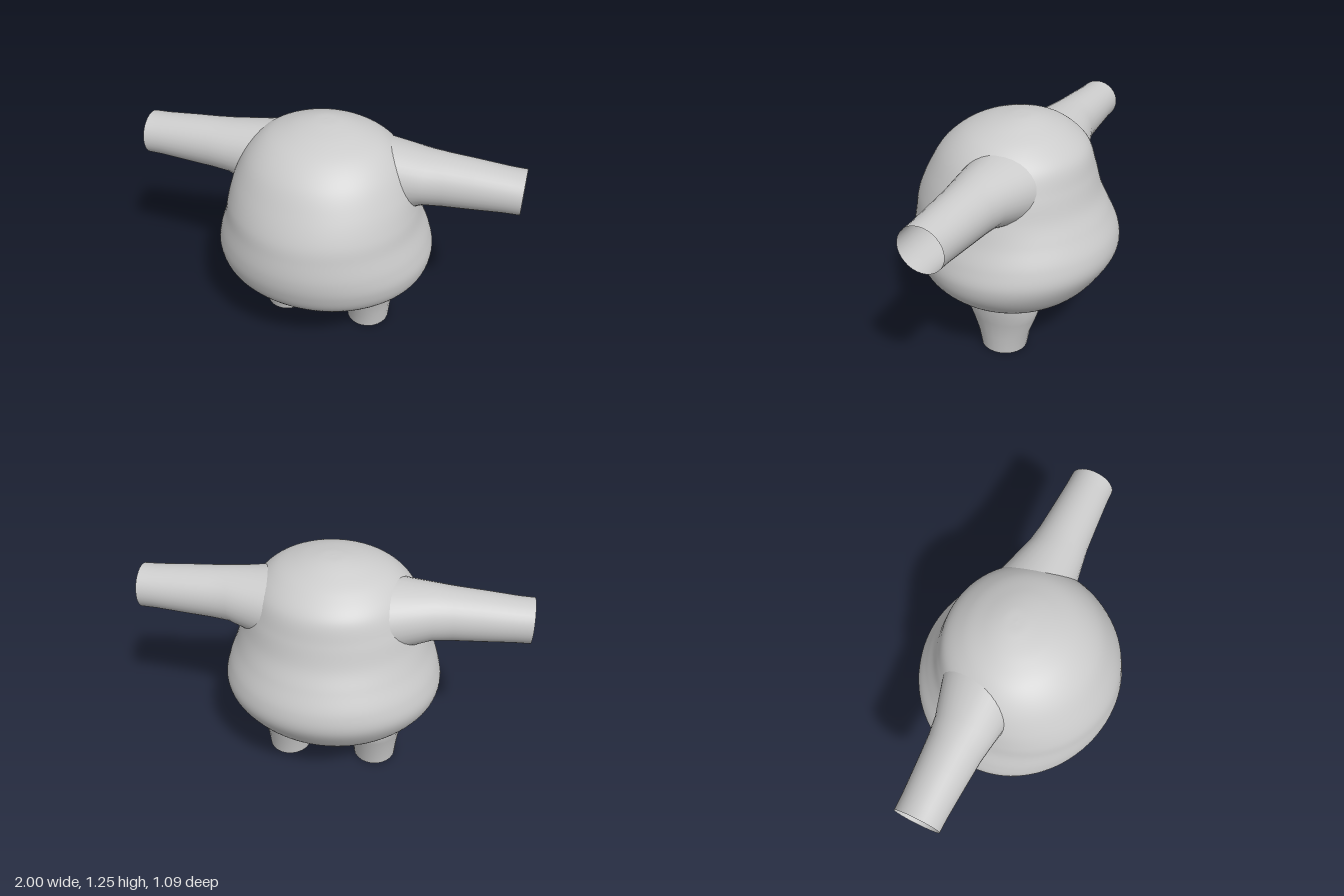
import * as THREE from 'three';

const material = new THREE.MeshStandardMaterial({ color: 0xcccccc, side: THREE.DoubleSide });

// Skin of closed rings: point(row, angle) gives a vertex, skip(vertex) marks cells left open
function loft(rows, segments, point, skip = () => false) {
  const pts = [], index = [];
  for (let i = 0; i < rows; i++)
    for (let j = 0; j < segments; j++) pts.push(point(i, (j / segments) * Math.PI * 2));
  for (let i = 0; i < rows - 1; i++) {
    for (let j = 0; j < segments; j++) {
      const k = (j + 1) % segments;
      const a = i * segments + j, b = i * segments + k;
      const c = b + segments, d = a + segments;
      const centre = pts[a].clone().add(pts[b]).add(pts[c]).add(pts[d]).multiplyScalar(0.25);
      if (!skip(centre)) index.push(a, b, c, a, c, d);
    }
  }
  const geometry = new THREE.BufferGeometry().setFromPoints(pts);
  geometry.setIndex(index);
  geometry.computeVertexNormals();
  return geometry;
}

// Body sections from the underside up: height, half width, front z, back z
const sections = [
  [0.235, 0, -0.02, -0.02], [0.24, 0.15, 0.11, -0.14], [0.27, 0.33, 0.25, -0.32],
  [0.335, 0.46, 0.385, -0.42], [0.43, 0.55, 0.485, -0.495], [0.53, 0.58, 0.53, -0.545],
  [0.63, 0.56, 0.545, -0.54], [0.74, 0.52, 0.535, -0.49], [0.84, 0.495, 0.515, -0.44],
  [0.96, 0.46, 0.46, -0.405], [1.08, 0.40, 0.385, -0.365], [1.165, 0.31, 0.285, -0.27],
  [1.215, 0.19, 0.17, -0.17], [1.24, 0.08, 0.05, -0.09], [1.245, 0, -0.02, -0.02],
];
const spline = (fn) => new THREE.CatmullRomCurve3(sections.map(fn), false, 'catmullrom', 0.5);
const widths = spline(([y, w]) => new THREE.Vector3(w, y, 0));
const depths = spline(([, , f, b]) => new THREE.Vector3((f + b) / 2, (f - b) / 2, 0));

function bodyPoint(t, angle) {
  const w = widths.getPoint(t), d = depths.getPoint(t);
  return new THREE.Vector3(w.x * Math.sin(angle), w.y, d.x + d.y * Math.cos(angle));
}

// Half width of the body surface at a given height and depth
function bodyX(y, z) {
  let lo = 0, hi = 1;
  for (let i = 0; i < 30; i++) {
    const mid = (lo + hi) / 2;
    if (widths.getPoint(mid).y < y) lo = mid; else hi = mid;
  }
  const d = depths.getPoint(lo);
  return widths.getPoint(lo).x * Math.sqrt(Math.max(0, 1 - ((z - d.x) / d.y) ** 2));
}

// Arm axis and the oval where the arm meets the body
const armY = 0.99, armZ = -0.05;
const rootY = 0.16, rootFront = 0.17, rootBack = 0.22;
const inArmHole = (p) => Math.abs(p.x) > 0.1 &&
  Math.hypot((p.y - armY) / rootY, (p.z - armZ) / (p.z > armZ ? rootFront : rootBack)) < 0.85;

// Arm sections past the root: x, vertical radius, depth radius
const armRings = [[0.52, 0.143, 0.155], [0.62, 0.136, 0.14], [0.76, 0.128, 0.13],
  [0.92, 0.116, 0.12], [1, 0.114, 0.118]];

function armPoint(row, a) {
  const c = Math.cos(a), s = Math.sin(a);
  const y = armY + rootY * c, z = armZ + (s > 0 ? rootFront : rootBack) * s;
  const x = bodyX(y, z) - 0.01;
  if (row === 0) return new THREE.Vector3(x, y, z);
  const [rx, ry, rz] = armRings[row - 1];
  return new THREE.Vector3(Math.max(rx, x + 0.02), armY + ry * c, armZ + rz * s);
}

// Leg sections from the foot up: height, centre x, radius in x, radius in z
const legRings = [[0, 0.245, 0.117, 0.125], [0.1, 0.245, 0.127, 0.145], [0.2, 0.245, 0.143, 0.183],
  [0.26, 0.248, 0.16, 0.203], [0.33, 0.25, 0.165, 0.205]];

function legPoint(row, a) {
  const [y, cx, rx, rz] = legRings[row];
  return new THREE.Vector3(cx + rx * Math.sin(a), y, -0.045 + rz * Math.cos(a));
}

export function createModel() {
  const group = new THREE.Group();
  const add = (name, geometry, side = 1) => {
    const mesh = new THREE.Mesh(geometry, material);
    mesh.name = name;
    mesh.scale.x = side;
    group.add(mesh);
  };

  // Pear-shaped body, open into the hollow arms
  const rows = 113;
  add('body', loft(rows, 96, (i, a) => bodyPoint(i / (rows - 1), a), inArmHole));

  // Open sleeves and legs, mirrored
  const arm = loft(armRings.length + 1, 32, armPoint);
  const leg = loft(legRings.length, 24, legPoint);
  for (const [label, side] of [['left', 1], ['right', -1]]) {
    add(label + 'Arm', arm, side);
    add(label + 'Leg', leg, side);
  }
  return group;
}
